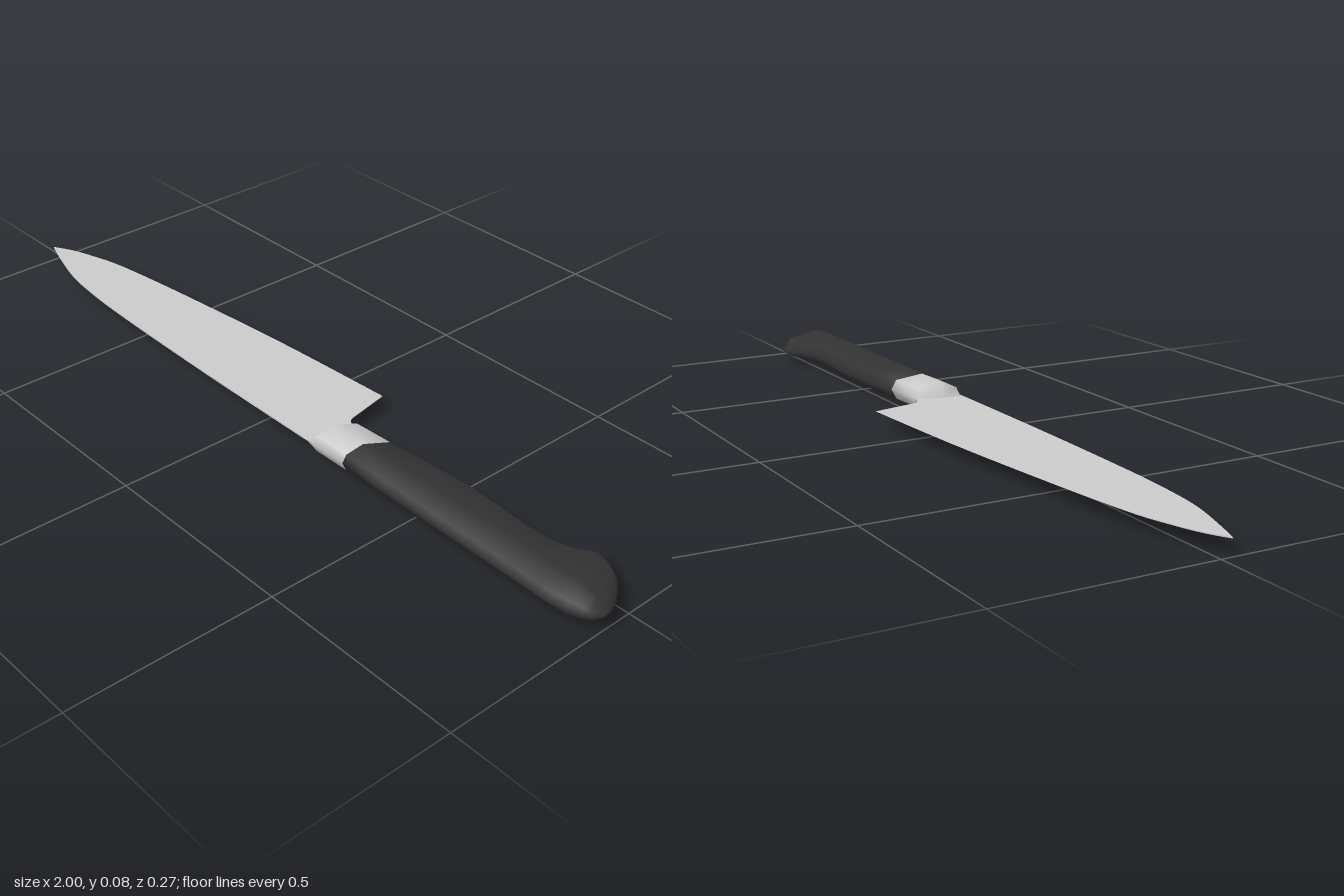
import * as THREE from 'three';

const MID_Y = 0.04;      // height of the blade plane
const RIDGE_Z = 0.07;    // thickest line along the grip
const HALF = 0.0375;     // half thickness of the grip

// Eight-point section: rounded back at +z, long slope to the belly at -z.
// Station: x, zMin, zMax, thickness factor, slant of the section in x.
function section([x, zMin, zMax, h, slant = 0]) {
  const zb = THREE.MathUtils.lerp(RIDGE_Z, zMax, 0.82);
  const zf = THREE.MathUtils.lerp(RIDGE_Z, zMin, 0.85);
  const yb = HALF - 0.43 * Math.abs(zb - RIDGE_Z);
  const yf = HALF - 0.21 * Math.abs(RIDGE_Z - zf);
  return [
    [zMax, 0], [zb, yb], [RIDGE_Z, HALF], [zf, yf],
    [zMin, 0], [zf, -yf], [RIDGE_Z, -HALF], [zb, -yb],
  ].map(([z, y]) => [x + slant * (0.06 - z), MID_Y + y * h, z]);
}

// Skin between consecutive sections, closed at both ends.
function loft(stations) {
  const rings = stations.map(section);
  const n = rings[0].length;
  const last = (rings.length - 1) * n;
  const index = [];
  for (let i = 0; i < rings.length - 1; i++) {
    for (let j = 0; j < n; j++) {
      const a = i * n + j, c = i * n + (j + 1) % n;
      index.push(a, a + n, c, c, a + n, c + n);
    }
  }
  for (let j = 1; j < n - 1; j++) {
    index.push(0, j, j + 1, last, last + j + 1, last + j);
  }
  const g = new THREE.BufferGeometry();
  g.setAttribute('position', new THREE.Float32BufferAttribute(rings.flat(2), 3));
  g.setIndex(index);
  g.computeVertexNormals();
  return g;
}

// Outline in x and z, extruded thin, then ground down toward the cutting edge.
function bladeGeometry() {
  const s = new THREE.Shape();
  s.moveTo(-1, 0.025);
  s.splineThru([[-0.94, 0.046], [-0.83, 0.078], [-0.72, 0.094], [-0.55, 0.105], [-0.2, 0.114], [0.17, 0.117]]
    .map(p => new THREE.Vector2(...p)));
  s.lineTo(0.24, 0.115);
  s.lineTo(0.24, 0.01);
  s.lineTo(0.2, 0);
  s.quadraticCurveTo(0.175, -0.003, 0.169, -0.02);
  s.lineTo(0.146, -0.138);
  s.splineThru([[-0.2, -0.117], [-0.55, -0.083], [-0.78, -0.053], [-0.88, -0.028], [-0.95, -0.003], [-1, 0.025]]
    .map(p => new THREE.Vector2(...p)));
  const g = new THREE.ExtrudeGeometry(s, { depth: 1, bevelEnabled: false, curveSegments: 6 });
  g.translate(0, 0, -0.5);
  g.rotateX(Math.PI / 2);
  const p = g.attributes.position;
  for (let i = 0; i < p.count; i++) {
    const t = THREE.MathUtils.clamp((p.getZ(i) + 0.14) / 0.26, 0.2, 1);
    p.setY(i, MID_Y + p.getY(i) * 0.004 * t);
  }
  g.computeVertexNormals();
  return g;
}

export function createModel() {
  const group = new THREE.Group();
  const steel = new THREE.MeshStandardMaterial({ color: 0xcccccc });
  const black = new THREE.MeshStandardMaterial({ color: 0x333333 });
  const add = (name, geometry, material) => {
    const m = new THREE.Mesh(geometry, material);
    m.name = name;
    group.add(m);
  };

  add('blade', bladeGeometry(), steel);

  // Collar, wedged down to the blade at its front
  add('bolster', loft([
    [0.183, 0.004, 0.118, 0.06, 0.25],
    [0.206, 0.002, 0.118, 1, 0.27],
    [0.305, -0.005, 0.118, 1, 0.3],
  ]), steel);

  // Grip with a swell, a finger hollow and a hooked butt
  add('handle', loft([
    [0.305, -0.005, 0.118, 1, 0.3],
    [0.4, -0.015, 0.121, 1, 0.12],
    [0.48, -0.021, 0.122, 1],
    [0.56, -0.025, 0.124, 1],
    [0.64, -0.02, 0.125, 1],
    [0.72, -0.012, 0.126, 1],
    [0.79, -0.014, 0.127, 1],
    [0.83, -0.03, 0.128, 1],
    [0.866, -0.069, 0.13, 1],
    [0.9, -0.056, 0.13, 1],
    [0.94, -0.031, 0.124, 0.98],
    [0.968, 0, 0.115, 0.7],
    [0.988, 0.03, 0.102, 0.4],
    [1, 0.058, 0.085, 0.08],
  ]), black);

  return group;
}
